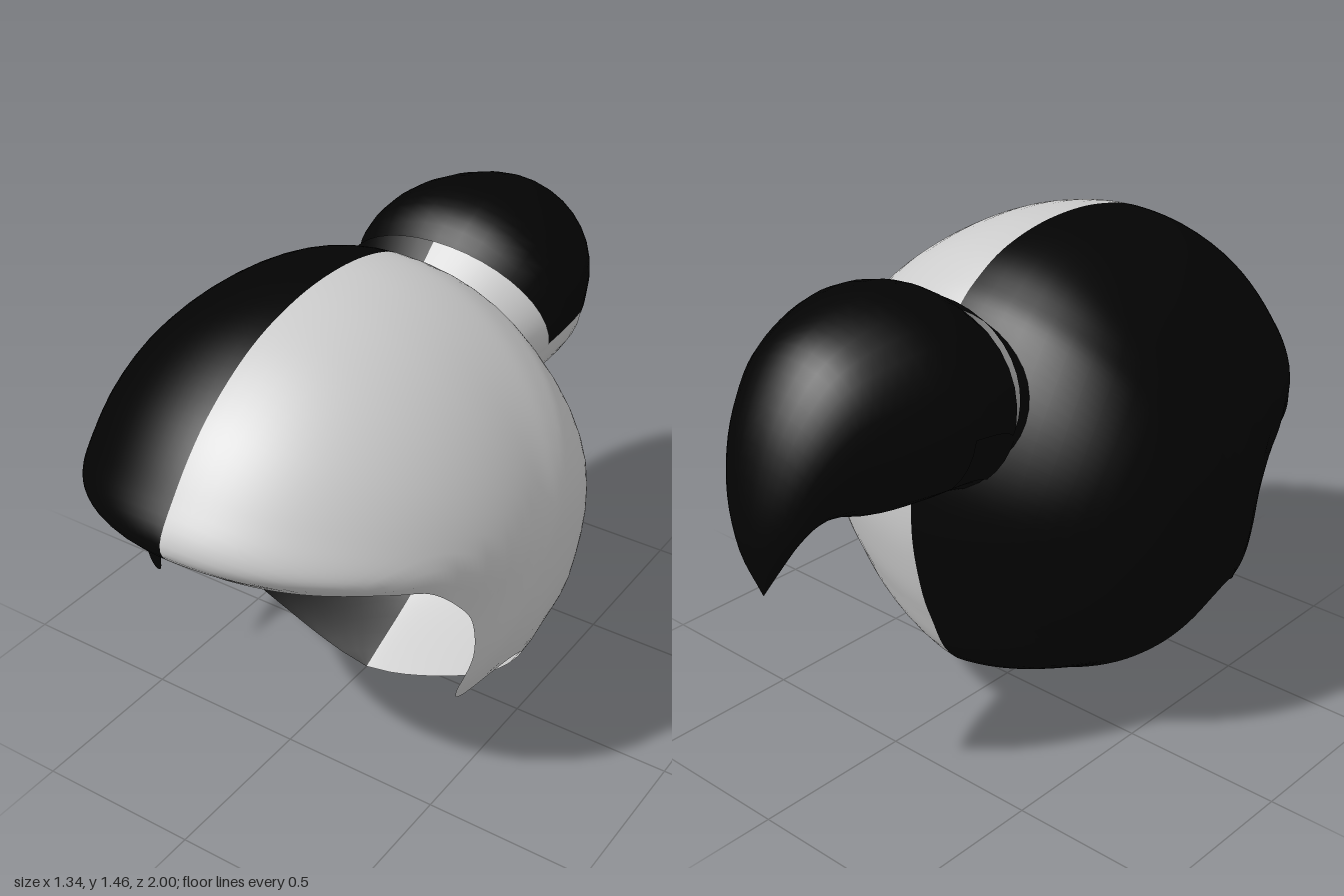
import * as THREE from 'three';

const GREY = 0xcccccc, BLACK = 0x030303;
const curve = (pts) => new THREE.CatmullRomCurve3(
  pts.map(([z, y, x = 0]) => new THREE.Vector3(x, y, z)), false, 'catmullrom', 0.5);

// One half of a surface from f(u, v) on x >= 0; side = -1 mirrors it
function halfSurface(name, f, nu, nv, side, color) {
  const pos = [], index = [];
  for (let i = 0; i <= nu; i++) {
    for (let j = 0; j <= nv; j++) {
      const p = f(i / nu, j / nv);
      pos.push(p.x * side, p.y, p.z);
      if (i === nu || j === nv) continue;
      const a = i * (nv + 1) + j, b = a + nv + 1;
      if (side > 0) index.push(a, b, a + 1, b, b + 1, a + 1);
      else index.push(a, a + 1, b, b, a + 1, b + 1);
    }
  }
  const geo = new THREE.BufferGeometry();
  geo.setAttribute('position', new THREE.Float32BufferAttribute(pos, 3));
  geo.setIndex(index);
  geo.computeVertexNormals();
  // Keep shading continuous across the middle seam
  const n = geo.attributes.normal, v = new THREE.Vector3();
  for (let i = 0; i < n.count; i++) {
    if (Math.abs(pos[i * 3]) > 1e-4) continue;
    v.fromBufferAttribute(n, i).setX(0).normalize();
    n.setXYZ(i, v.x, v.y, v.z);
  }
  const mesh = new THREE.Mesh(geo, new THREE.MeshStandardMaterial({ color, side: THREE.DoubleSide }));
  mesh.name = name;
  return mesh;
}

// Middle line of the hair cap [z, y], from the fringe over the crown to the nape
const midline = curve([
  [0.9, 0.89], [1, 1], [0.93, 1.13], [0.79, 1.28], [0.6, 1.395], [0.39, 1.45],
  [0.18, 1.455], [0, 1.42], [-0.12, 1.36], [-0.21, 1.28], [-0.32, 1.1], [-0.39, 0.9],
  [-0.41, 0.7], [-0.39, 0.53], [-0.34, 0.36], [-0.23, 0.165], [0.09, 0]]);

// Hairline in side view: fringe, temple, sideburn, ear arch, nape
const hairline = curve([
  [0.9, 0.89], [0.83, 0.885], [0.75, 0.885], [0.68, 0.87], [0.6, 0.845], [0.52, 0.77],
  [0.46, 0.68], [0.44, 0.55], [0.45, 0.42], [0.42, 0.37], [0.36, 0.42], [0.28, 0.445],
  [0.21, 0.42], [0.17, 0.34], [0.14, 0.24], [0.105, 0.12], [0.09, 0]]);

// Whole head outline, closed across the open face
const CZ = 0.2, CY = 0.8, HALF_WIDTH = 0.672;
const faceLine = curve([[0.09, 0], [0.3, -0.01], [0.575, 0.1], [0.69, 0.29], [0.76, 0.55], [0.9, 0.89]]);
const outline = [...midline.getPoints(160), ...faceLine.getPoints(40).slice(1, -1)].map((p) => [p.z, p.y]);

// Distance from the head centre to the outline in direction (dz, dy)
function outlineRadius(dz, dy) {
  let best = 0;
  outline.forEach(([z0, y0], i) => {
    const [z1, y1] = outline[(i + 1) % outline.length];
    const ez = z1 - z0, ey = y1 - y0, az = z0 - CZ, ay = y0 - CY;
    const den = dz * ey - dy * ez;
    if (Math.abs(den) < 1e-9) return;
    const r = (az * ey - ay * ez) / den;
    const k = (az * dy - ay * dz) / den;
    if (r > best && k >= -1e-6 && k <= 1 + 1e-6) best = r;
  });
  return best || 1;
}

// Rounded head shape between hairline (v = 0) and midline (v = 1)
function capPoint(u, v) {
  const p = hairline.getPoint(u).lerp(midline.getPoint(u), Math.sin(v * Math.PI / 2));
  const dz = p.z - CZ, dy = p.y - CY, r = Math.hypot(dz, dy);
  if (v === 1 || u === 0 || u === 1) return p.setX(0);
  if (r < 1e-6) return p.setX(HALF_WIDTH);
  // Fuller at the back, tapering straighter towards the crown and the nape
  const rho = Math.min(1, r / outlineRadius(dz / r, dy / r));
  const front = Math.max(0, dz / r), back = Math.max(0, -dz / r), up = Math.max(0, dy / r);
  const down = Math.max(0, -dy / r) * (1 - front);
  const power = 2 + back * back + 0.85 * down - 0.3 * up * up;
  return p.setX(HALF_WIDTH * (1 - rho ** power) ** (0.5 + 0.25 * down));
}

// Half-ellipse loft between an upper line [z, y, half width] and a lower line [z, y];
// a0 and a1 limit the arc, as parts of the half turn from the top
function loft(upper, lower, { to = 1, a0 = 0, a1 = 1, scale = 1 } = {}) {
  const top = curve(upper), bottom = curve(lower);
  return (u, v) => {
    const a = Math.PI * (a1 + (a0 - a1) * v);
    const A = top.getPoint(to * u), B = bottom.getPoint(to * u);
    const w = Math.max(0, A.x) * scale;
    A.x = 0;
    const mid = A.clone().add(B).multiplyScalar(0.5);
    return mid.addScaledVector(A.sub(B), 0.5 * Math.cos(a) * scale).setX(w * Math.sin(a));
  };
}

const tailUpper = [
  [-0.27, 1.33, 0.325], [-0.38, 1.41, 0.36], [-0.53, 1.435, 0.355], [-0.7, 1.4, 0.3],
  [-0.82, 1.33, 0.245], [-0.925, 1.18, 0.19], [-0.983, 1, 0.135], [-0.998, 0.84, 0.07], [-0.96, 0.7, 0]];
const tailLower = [
  [-0.39, 0.815], [-0.46, 0.84], [-0.55, 0.845], [-0.68, 0.85],
  [-0.77, 0.875], [-0.84, 0.88], [-0.895, 0.85], [-0.928, 0.78], [-0.96, 0.7]];

export function createModel() {
  const group = new THREE.Group();
  group.name = 'twoToneHair';
  const tail = loft(tailUpper, tailLower);
  // Base of the ponytail, sunk into the cap
  const tailBase = loft([[-0.31, 0.97, 0], tailUpper[0]], [[-0.31, 0.97], tailLower[0]]);
  const collar = loft(
    [[-0.18, 1.27, 0.32], [-0.27, 1.345, 0.35]],
    [[-0.39, 0.86], [-0.43, 0.87]]);
  const tab = loft(tailUpper, tailLower, { to: 0.235, a0: 0.53, a1: 0.72, scale: 1.015 });

  for (const side of [1, -1]) {
    const label = side > 0 ? 'left' : 'right';
    const color = side > 0 ? GREY : BLACK;
    group.add(
      halfSurface(label + 'HairCap', capPoint, 96, 20, side, color),
      halfSurface(label + 'TailCollar', collar, 2, 20, side, color),
      halfSurface(label + 'CollarTab', tab, 6, 4, side, color),
      halfSurface(label + 'Ponytail', tail, 32, 16, side, BLACK),
      halfSurface(label + 'PonytailBase', tailBase, 4, 16, side, BLACK));
  }
  return group;
}
